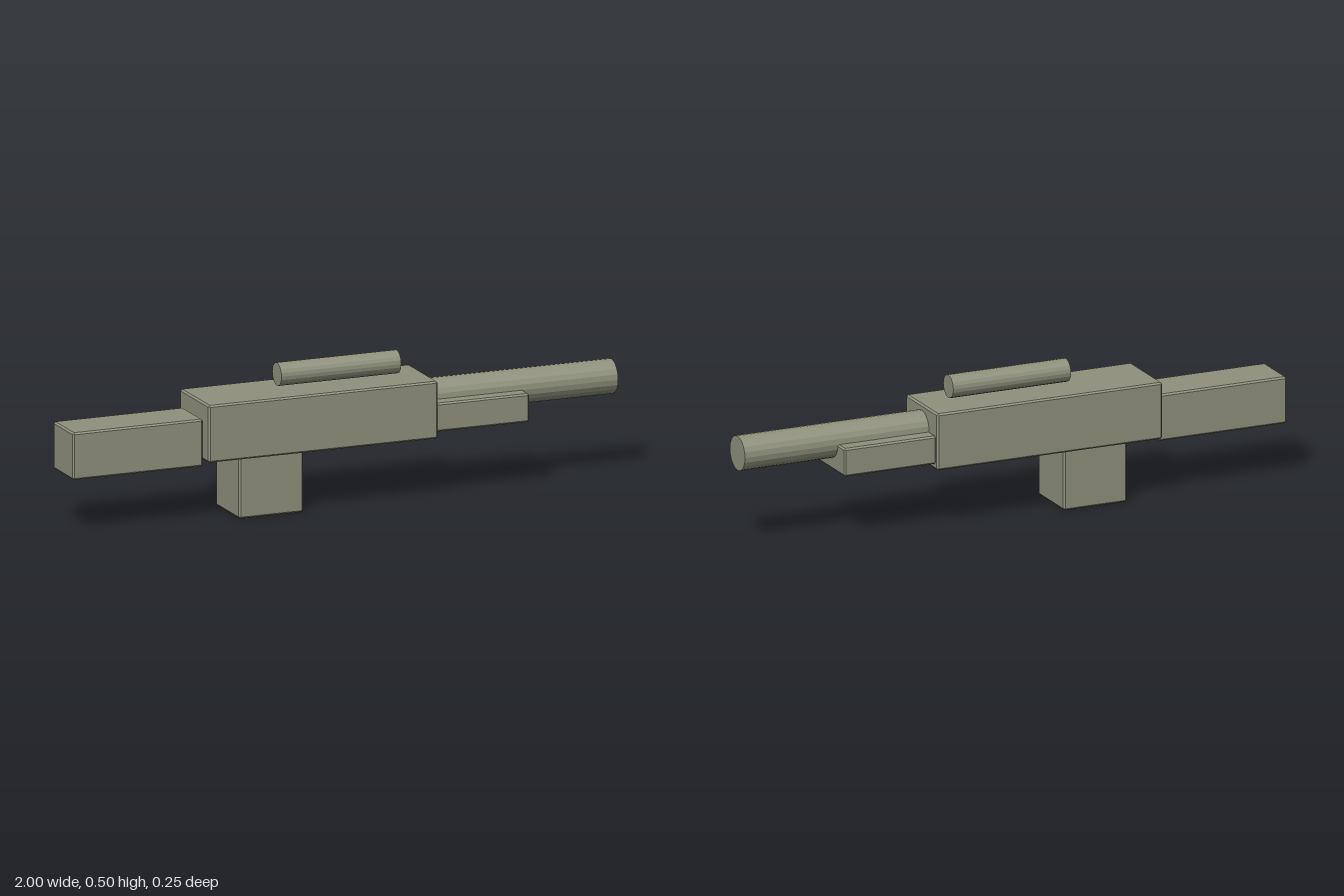
import * as THREE from 'three';
import { ConvexGeometry } from 'three/addons/geometries/ConvexGeometry.js';

const olive = new THREE.MeshStandardMaterial({ color: 0x8f917c });
olive.name = 'olive grey';

// Box with small flat chamfers on every edge, given by its x and y ranges and half depth
function chamferedBox(name, x0, x1, y0, y1, halfZ, c = 0.006) {
  const half = [(x1 - x0) / 2, (y1 - y0) / 2, halfZ];
  const points = [];
  for (const sx of [-1, 1]) for (const sy of [-1, 1]) for (const sz of [-1, 1]) {
    for (let axis = 0; axis < 3; axis++) {
      const [x, y, z] = half.map((h, i) => (i === axis ? h : h - c));
      points.push(new THREE.Vector3(sx * x, sy * y, sz * z));
    }
  }
  const mesh = new THREE.Mesh(new ConvexGeometry(points), olive);
  mesh.position.set((x0 + x1) / 2, (y0 + y1) / 2, 0);
  mesh.name = name;
  return mesh;
}

// Faceted rod lying along x
function rod(name, x0, x1, y, radius) {
  const geometry = new THREE.CylinderGeometry(radius, radius, x1 - x0, 20).rotateZ(-Math.PI / 2).toNonIndexed();
  geometry.computeVertexNormals();
  const mesh = new THREE.Mesh(geometry, olive);
  mesh.position.set((x0 + x1) / 2, y, 0);
  mesh.name = name;
  return mesh;
}

export function createModel() {
  const model = new THREE.Group();
  model.name = 'blockyRifle';
  model.add(
    chamferedBox('stock', -1, -0.525, 0.192, 0.356, 0.086),
    chamferedBox('receiver', -0.521, 0.316, 0.212, 0.411, 0.124),
    chamferedBox('magazine', -0.4, -0.165, 0, 0.217, 0.1),
    chamferedBox('handguard', 0.313, 0.655, 0.232, 0.331, 0.112),
    rod('barrel', 0.3, 1, 0.331, 0.06),
    rod('scope', -0.22, 0.217, 0.461, 0.04),
  );
  return model;
}
